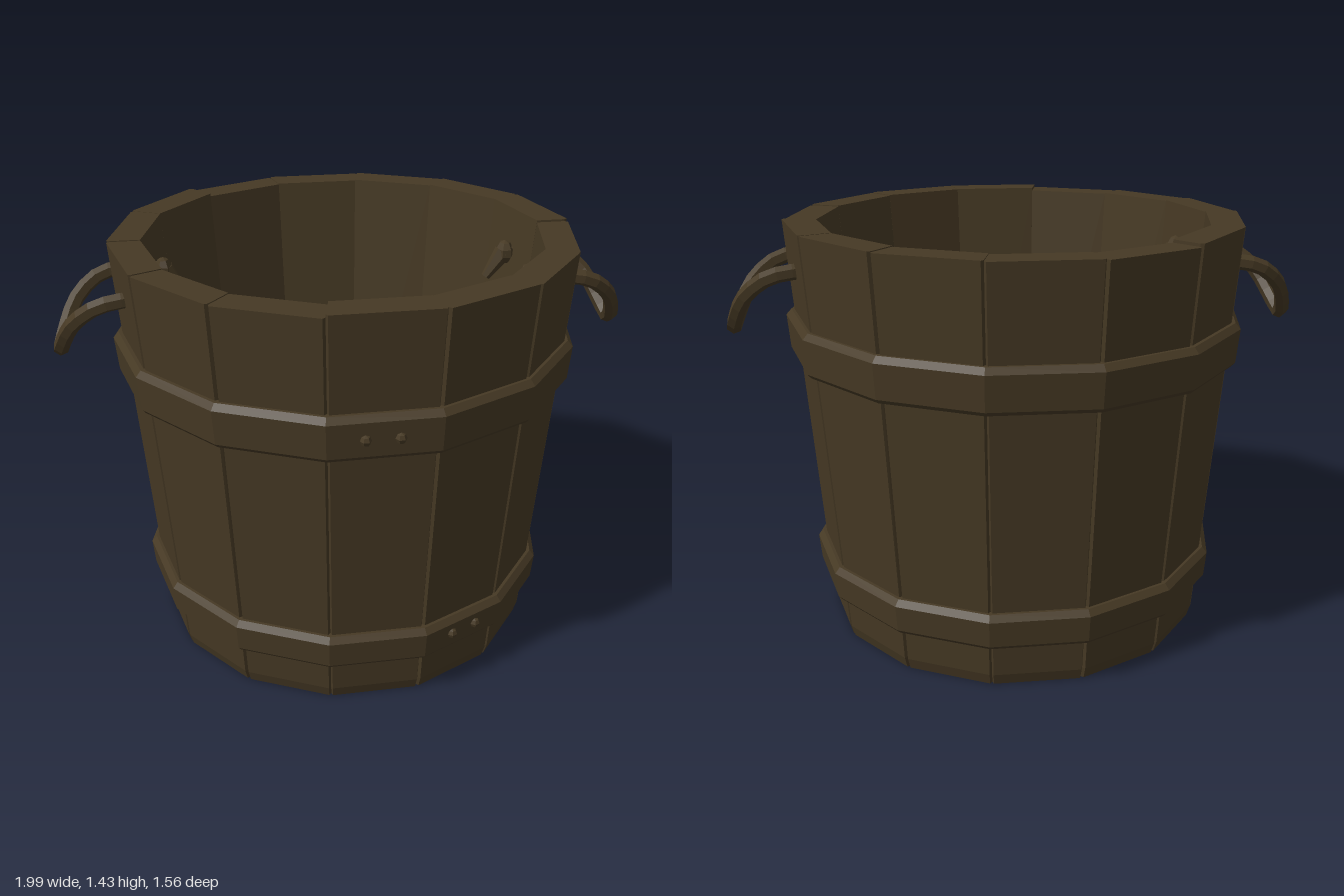
import * as THREE from 'three';

const SIDES = 14;
const STEP = (Math.PI * 2) / SIDES;
const HEIGHT = 1.425;

const wood = new THREE.MeshStandardMaterial({ color: 0x463924 });
wood.name = 'dark wood';

// Facet a geometry so every face has its own flat normal
function facet(geometry) {
  const g = geometry.index ? geometry.toNonIndexed() : geometry;
  g.computeVertexNormals();
  return g;
}

function addMesh(parent, geometry, name) {
  const mesh = new THREE.Mesh(facet(geometry), wood);
  mesh.name = name;
  parent.add(mesh);
  return mesh;
}

// Closed solid through a stack of matching cross-sections, bottom to top
function loft(rings) {
  const pos = [];
  const tri = (...pts) => pts.forEach((p) => pos.push(p.x, p.y, p.z));
  const n = rings[0].length;
  for (let k = 0; k < rings.length - 1; k++) {
    const lo = rings[k], hi = rings[k + 1];
    for (let i = 0; i < n; i++) {
      const j = (i + 1) % n;
      tri(lo[i], hi[i], lo[j]);
      tri(lo[j], hi[i], hi[j]);
    }
  }
  const top = rings[rings.length - 1], bottom = rings[0];
  for (let i = 1; i < n - 1; i++) {
    tri(top[0], top[i + 1], top[i]);
    tri(bottom[0], bottom[i], bottom[i + 1]);
  }
  const g = new THREE.BufferGeometry();
  g.setAttribute('position', new THREE.Float32BufferAttribute(pos, 3));
  return g;
}

// Section of one stave: flat outer face with bevelled edges, forming seam grooves
function staveSection(index, y, outer, inner) {
  const at = (r, a) => new THREE.Vector3(r * Math.cos(a), y, r * Math.sin(a));
  const a0 = index * STEP, a1 = a0 + STEP;
  const o0 = at(outer, a0), o1 = at(outer, a1);
  return [
    at(outer - 0.012, a0), o0.clone().lerp(o1, 0.022), o0.clone().lerp(o1, 0.978),
    at(outer - 0.012, a1), at(inner, a1), at(inner, a0),
  ];
}

// Hoop with bevelled rims
function addHoop(parent, name, y0, y1, r0, r1, tilt) {
  const profile = [
    [r0 - 0.05, y0], [r0 - 0.012, y0], [r0, y0 + 0.014],
    [r1, y1 - 0.02], [r1 - 0.018, y1], [r1 - 0.055, y1],
  ].map(([r, y]) => new THREE.Vector2(r, y - y0));
  const hoop = addMesh(parent, new THREE.LatheGeometry(profile, SIDES, Math.PI / 2), name);
  hoop.position.y = y0;
  hoop.rotation.z = tilt;
}

// Pair of pointed rivet heads on a hoop face whose normal is at the given angle
function addRivets(parent, name, angle, y, distance, offsets) {
  const pair = new THREE.Group();
  pair.name = name;
  pair.rotation.y = angle;
  for (const x of offsets) {
    const head = addMesh(pair, new THREE.SphereGeometry(0.018, 6, 4), 'rivet');
    head.position.set(x, y, distance);
  }
  parent.add(pair);
}

// Rope handle on the +x side, knotted inside the wall
function createHandle() {
  const handle = new THREE.Group();
  const half = [
    [0.6, 1.28, 0.135], [0.74, 1.285, 0.165], [0.83, 1.265, 0.165],
    [0.91, 1.2, 0.13], [0.952, 1.12, 0.07],
  ];
  const points = [...half, [0.972, 1.065, 0], ...half.map(([x, y, z]) => [x, y, -z]).reverse()];
  const path = new THREE.CatmullRomCurve3(points.map((p) => new THREE.Vector3(...p)));
  addMesh(handle, new THREE.TubeGeometry(path, 22, 0.027, 6), 'rope');
  for (const s of [1, -1]) {
    const knot = addMesh(handle, new THREE.SphereGeometry(0.04, 6, 5), 'knot');
    knot.position.set(0.61, 1.28, 0.135 * s);
    knot.scale.set(0.8, 1.1, 1);
    const tail = addMesh(handle, new THREE.CylinderGeometry(0.034, 0.016, 0.11, 6), 'ropeEnd');
    tail.position.set(0.575, 1.235, 0.135 * s);
    tail.rotation.z = -0.6;
  }
  return handle;
}

export function createModel() {
  const model = new THREE.Group();
  model.name = 'bucket';
  const body = new THREE.Group();
  body.name = 'body';
  body.position.z = -0.013;
  model.add(body);

  // Staves, with slightly uneven tops
  for (let i = 0; i < SIDES; i++) {
    const top = HEIGHT + [0, 0.006, -0.003, 0.003, 0.007][(i * 3) % 5];
    addMesh(body, loft([
      staveSection(i, 0, 0.673, 0.56),
      staveSection(i, 0.04, 0.685, 0.563),
      staveSection(i, top, 0.787, 0.676),
    ]), 'stave');
  }

  // Floor, raised above the bottom rim
  const floor = addMesh(body, new THREE.CylinderGeometry(0.578, 0.572, 0.06, SIDES, 1, false, Math.PI / 2), 'floor');
  floor.position.y = 0.12;

  // Hoops and their rivets
  addHoop(body, 'lowerHoop', 0.155, 0.28, 0.723, 0.731, -0.003);
  addHoop(body, 'upperHoop', 0.968, 1.118, 0.783, 0.793, 0.006);
  addRivets(body, 'upperRivets', 0, 1.04, 0.772, [-0.06, 0.045]);
  addRivets(body, 'lowerRivets', STEP, 0.22, 0.71, [-0.05, 0.05]);

  // Handles on both sides
  for (const [name, turn] of [['leftHandle', 0], ['rightHandle', Math.PI]]) {
    const handle = createHandle();
    handle.name = name;
    handle.rotation.y = turn;
    body.add(handle);
  }
  return model;
}
